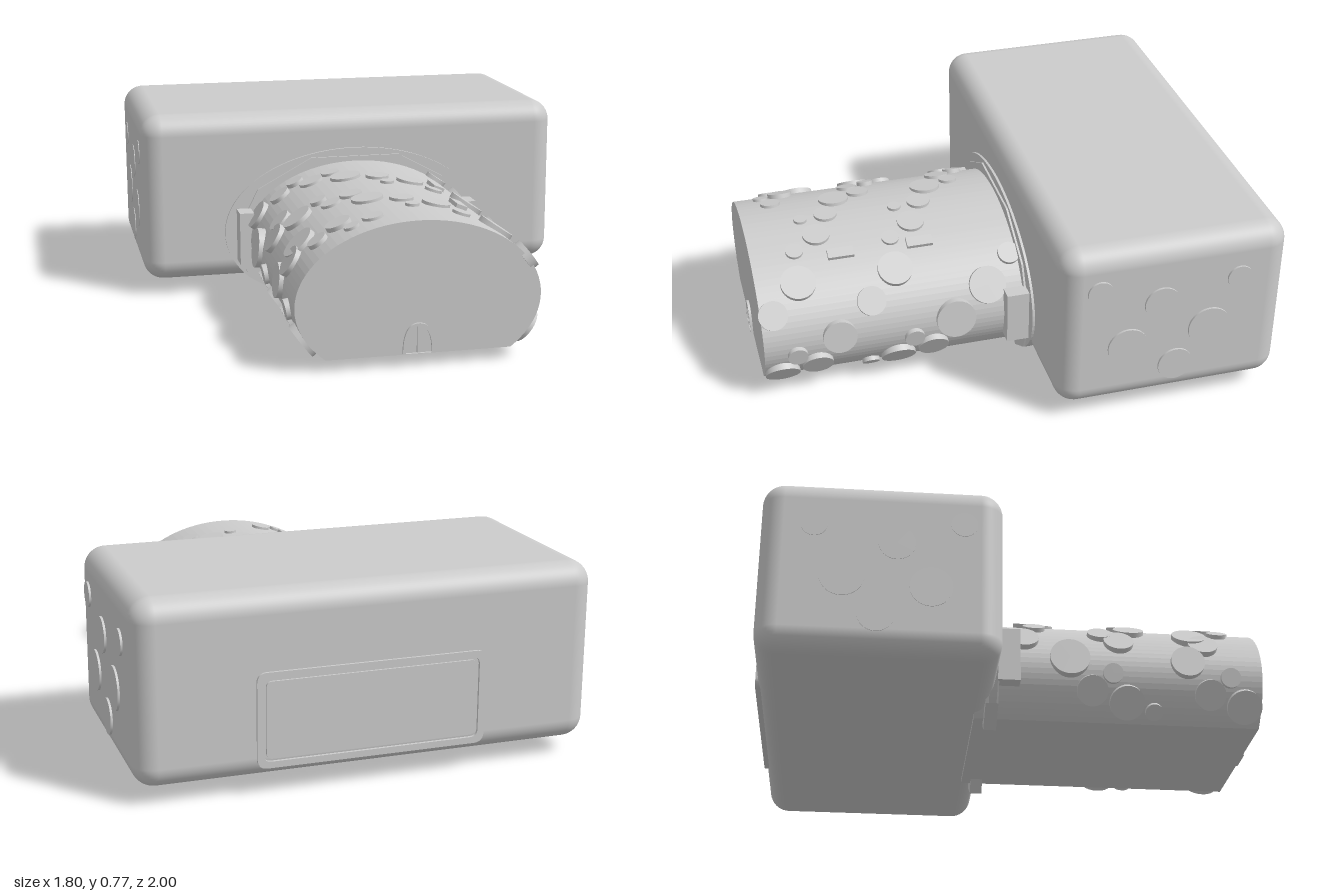
import * as THREE from 'three';
import { RoundedBoxGeometry } from 'three/addons/geometries/RoundedBoxGeometry.js';

const mat = new THREE.MeshStandardMaterial({ color: 0xcccccc });
const A = 0.465, B = 0.305, CY = 0.25; // barrel ellipse

export function createModel() {
  const model = new THREE.Group();

  const add = (name, geometry, x = 0, y = 0, z = 0) => {
    const mesh = new THREE.Mesh(geometry, mat);
    mesh.name = name;
    mesh.position.set(x, y, z);
    model.add(mesh);
    return mesh;
  };
  const extrude = (shape, depth) =>
    new THREE.ExtrudeGeometry(shape, { depth, bevelEnabled: false, curveSegments: 24 });
  const polygon = (pts) => new THREE.Shape(pts.map(([x, y]) => new THREE.Vector2(x, y)));

  // ellipse with its underside cut flat at floorY
  const cutEllipse = (a, b, cy, floorY, n = 64) => {
    const start = Math.asin((floorY - cy) / b), pts = [];
    for (let i = 0; i <= n; i++) {
      const t = start + (Math.PI - 2 * start) * i / n;
      pts.push([a * Math.cos(t), cy + b * Math.sin(t)]);
    }
    return pts;
  };
  const roundedRect = (Type, x0, y0, x1, y1, r) => {
    const s = new Type();
    s.moveTo(x0 + r, y0);
    s.lineTo(x1 - r, y0); s.quadraticCurveTo(x1, y0, x1, y0 + r);
    s.lineTo(x1, y1 - r); s.quadraticCurveTo(x1, y1, x1 - r, y1);
    s.lineTo(x0 + r, y1); s.quadraticCurveTo(x0, y1, x0, y1 - r);
    s.lineTo(x0, y0 + r); s.quadraticCurveTo(x0, y0, x0 + r, y0);
    return s;
  };

  // main block
  add('body', new RoundedBoxGeometry(1.785, 0.705, 0.91, 6, 0.085), -0.006, 0.4175, -0.535);

  // flat-bottomed oval barrel
  add('barrel', extrude(polygon(cutEllipse(A, B, CY, 0.05)), 1.14), 0, 0, -0.15);

  // thin oval plate behind the collar
  add('flange', extrude(polygon(cutEllipse(0.56, 0.345, 0.265, 0.068)), 0.03), 0, 0, -0.1);

  // faceted collar, open underneath and ending in two feet
  const half = [[0.19, 0.575], [0.42, 0.45], [0.495, 0.3], [0.495, 0.15], [0.46, 0.07], [0.35, 0.003]];
  const inner = [[0.295, 0.055], [0.36, 0.055], [0.43, 0.13], [0.455, 0.27], [0.39, 0.41], [0.18, 0.53]];
  const right = [...half, ...inner];
  const left = right.map(([x, y]) => [-x, y]).reverse();
  add('collar', extrude(polygon([...right, ...left]), 0.05), 0, 0, -0.112);
  for (const s of [1, -1])
    add('collarLug', new THREE.BoxGeometry(0.06, 0.22, 0.11), s * 0.48, 0.26, -0.035);

  // places a part on the barrel, with its local y along the surface normal
  const onBarrel = (name, geometry, angle, z) => {
    const c = Math.cos(angle), s = Math.sin(angle);
    const mesh = add(name, geometry, A * c, CY + B * s, z);
    mesh.rotation.z = Math.atan2(s / B, c / A) - Math.PI / 2;
  };
  const stud = (r) => new THREE.CylinderGeometry(r, r, 0.032, 32);

  // studs over the top: x, z, radius
  const topStuds = [
    [-0.35, 0.09, 0.045], [-0.28, 0.05, 0.037], [-0.23, 0.13, 0.05], [-0.145, 0.1, 0.037],
    [0.34, -0.03, 0.045], [-0.395, 0.35, 0.05], [-0.35, 0.475, 0.062], [-0.26, 0.435, 0.033],
    [-0.23, 0.52, 0.04], [-0.145, 0.49, 0.045], [-0.39, 0.715, 0.07], [-0.345, 0.84, 0.04],
    [-0.26, 0.8, 0.05], [-0.23, 0.885, 0.03], [-0.145, 0.855, 0.04],
  ];
  // diagonal run that occurs twice along the barrel
  for (const dz of [0, 0.388])
    topStuds.push([-0.105, 0.21 + dz, 0.062], [0.015, 0.265 + dz, 0.047], [0.03, 0.37 + dz, 0.027],
      [0.135, 0.325 + dz, 0.055], [0.205, 0.425 + dz, 0.035], [0.335, 0.435 + dz, 0.07]);
  for (const [x, z, r] of topStuds) {
    const g = stud(r);
    if (Math.abs(x) < 0.25) g.scale(1, 0.65, 1);
    onBarrel('topStud', g, Math.acos(x / A), z);
  }

  // studs on the flanks: z, y, radius
  const sideStuds = [[0.08, 0.38, 0.075], [0.22, 0.275, 0.08], [0.56, 0.09, 0.035]];
  for (const dz of [0, 0.47])
    sideStuds.push([0.45 + dz, 0.115, 0.07], [0.31 + dz, 0.15, 0.062], [0.39 + dz, 0.215, 0.04],
      [0.55 + dz * 0.83, 0.385, 0.058]);
  sideStuds.push([0.69, 0.275, 0.068]);
  for (const [z, y, r] of sideStuds) {
    const t = Math.asin((y - CY) / B);
    onBarrel('leftStud', stud(r), t, z);
    if (y < 0.35) onBarrel('rightStud', stud(r), Math.PI - t, z);
  }
  for (const z of [0.04, 0.42, 0.76]) onBarrel('rightStud', stud(0.06), Math.PI - 0.38, z);

  // small bars near the crown
  for (const z of [0.315, 0.635])
    onBarrel('crownBar', new THREE.BoxGeometry(0.045, 0.03, 0.105), 1.02, z);

  // discs on both ends of the block: z, y, radius
  const discs = [[-0.23, 0.6, 0.05], [-0.48, 0.51, 0.07], [-0.79, 0.575, 0.05],
    [-0.35, 0.33, 0.08], [-0.68, 0.365, 0.085], [-0.55, 0.21, 0.07]];
  for (const [z, y, r] of discs)
    for (const s of [1, -1]) {
      const disc = add(s > 0 ? 'leftDisc' : 'rightDisc',
        new THREE.CylinderGeometry(r, r, 0.02, 40), s > 0 ? 0.885 : -0.891, y, z);
      disc.rotation.z = Math.PI / 2;
    }

  // framed panel on the back
  const frame = roundedRect(THREE.Shape, -0.45, 0.11, 0.44, 0.475, 0.04);
  frame.holes.push(roundedRect(THREE.Path, -0.425, 0.135, 0.415, 0.45, 0.03));
  add('backFrame', extrude(frame, 0.03), 0, 0, -1);
  add('backPanel', extrude(roundedRect(THREE.Shape, -0.415, 0.145, 0.405, 0.44, 0.025), 0.03), 0, 0, -0.998);

  // small arched mark on the barrel's end
  const arch = (Type, w, h) => {
    const s = new Type();
    s.moveTo(-w, 0.055);
    s.lineTo(w, 0.055);
    s.quadraticCurveTo(w, h, 0, h);
    s.quadraticCurveTo(-w, h, -w, 0.055);
    return s;
  };
  const mark = arch(THREE.Shape, 0.06, 0.17);
  mark.holes.push(arch(THREE.Path, 0.05, 0.158));
  add('endArch', extrude(mark, 0.02), -0.004, 0, 0.98);
  add('endRib', new THREE.BoxGeometry(0.012, 0.105, 0.02), -0.004, 0.11, 0.99);

  return model;
}
